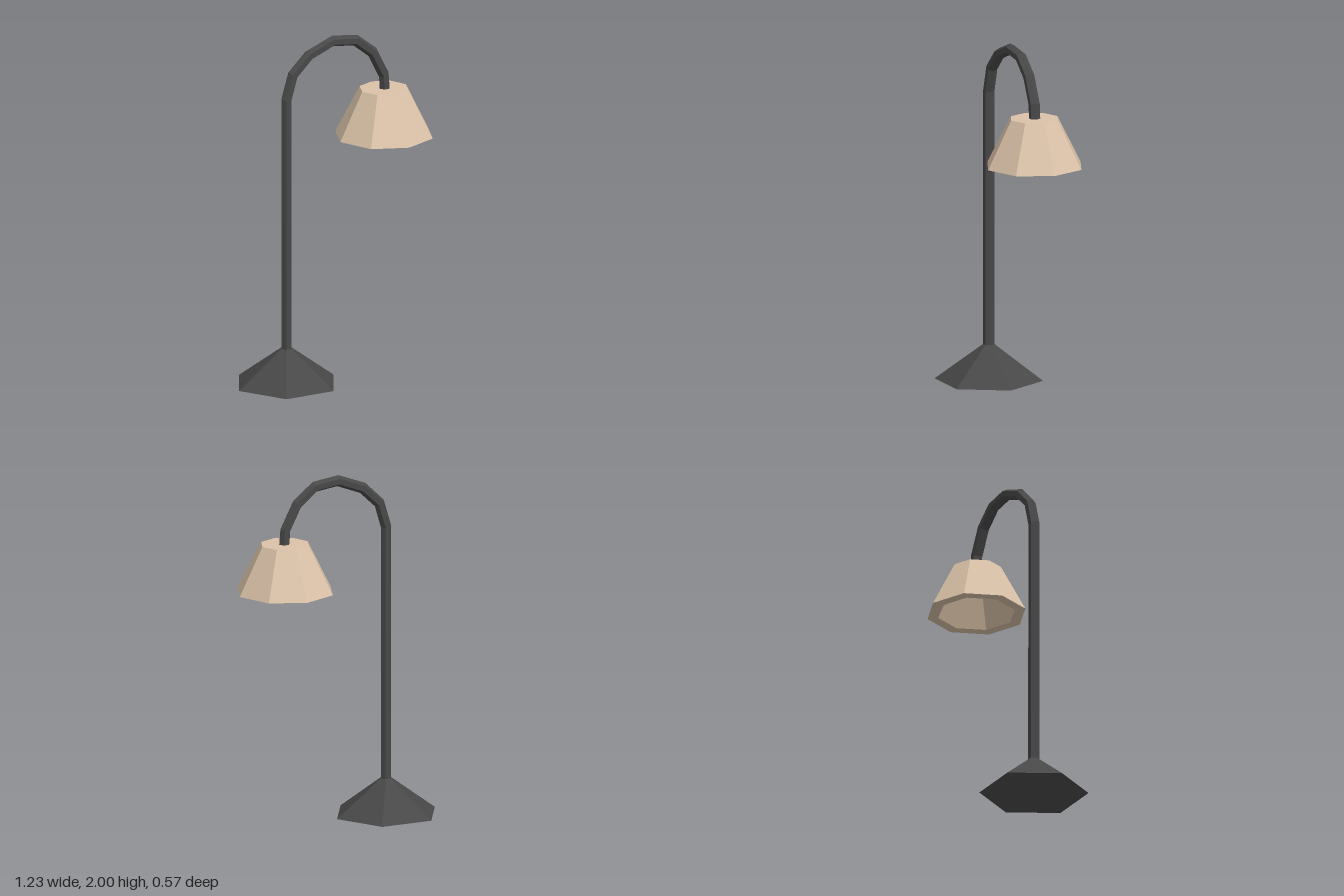
import * as THREE from 'three';

const SIDES = 6;

// Sweeps a six-sided ring along a path in the XY plane, mitred at each bend
function sweepPole(points, radius) {
  const path = points.map(([x, y]) => new THREE.Vector2(x, y));
  const positions = [];
  const index = [];
  path.forEach((p, i) => {
    const before = p.clone().sub(path[Math.max(i - 1, 0)]).normalize();
    const after = path[Math.min(i + 1, path.length - 1)].clone().sub(p).normalize();
    const t = before.add(after).normalize();
    for (let j = 0; j < SIDES; j++) {
      const a = (j / SIDES) * Math.PI * 2;
      const n = Math.cos(a) * radius;
      positions.push(p.x + t.y * n, p.y - t.x * n, Math.sin(a) * radius);
      if (i < path.length - 1) {
        const k = (j + 1) % SIDES;
        const [q, r] = [i * SIDES, (i + 1) * SIDES];
        index.push(q + j, r + j, q + k, r + j, r + k, q + k);
      }
    }
  });
  const geometry = new THREE.BufferGeometry();
  geometry.setAttribute('position', new THREE.Float32BufferAttribute(positions, 3));
  geometry.setIndex(index);
  geometry.computeVertexNormals();
  return geometry;
}

export function createModel() {
  const lamp = new THREE.Group();
  lamp.name = 'deskLamp';

  const metal = new THREE.MeshStandardMaterial({ color: 0x484848, flatShading: true, side: THREE.DoubleSide });
  const fabric = new THREE.MeshStandardMaterial({ color: 0xdcc3a9, flatShading: true });

  const add = (name, geometry, material, x, y) => {
    const mesh = new THREE.Mesh(geometry, material);
    mesh.name = name;
    mesh.position.set(x, y, 0);
    lamp.add(mesh);
  };

  // Hollow hexagonal foot, open underneath
  const foot = new THREE.CylinderGeometry(0.033, 0.307, 0.205, SIDES, 1, true, Math.PI / 2);
  add('base', foot, metal, -0.307, 0.1025);

  // Upright with a curved neck that ends in the top of the shade
  const polePath = [
    [-0.307, 0.205], [-0.307, 1.67], [-0.265, 1.81], [-0.16, 1.91], [-0.005, 1.97],
    [0.14, 1.952], [0.25, 1.865], [0.325, 1.72], [0.332, 1.63],
  ];
  add('pole', sweepPole(polePath, 0.032), metal, 0, 0);

  // Thick-walled octagonal shade: inner ceiling, inner wall, rim, outer wall, top
  const profile = [
    [0, 0.235], [0.11, 0.235], [0.222, 0], [0.284, 0], [0.142, 0.275], [0, 0.275],
  ].map(([r, y]) => new THREE.Vector2(r, y));
  add('shade', new THREE.LatheGeometry(profile, 8), fabric, 0.327, 1.365);

  return lamp;
}
